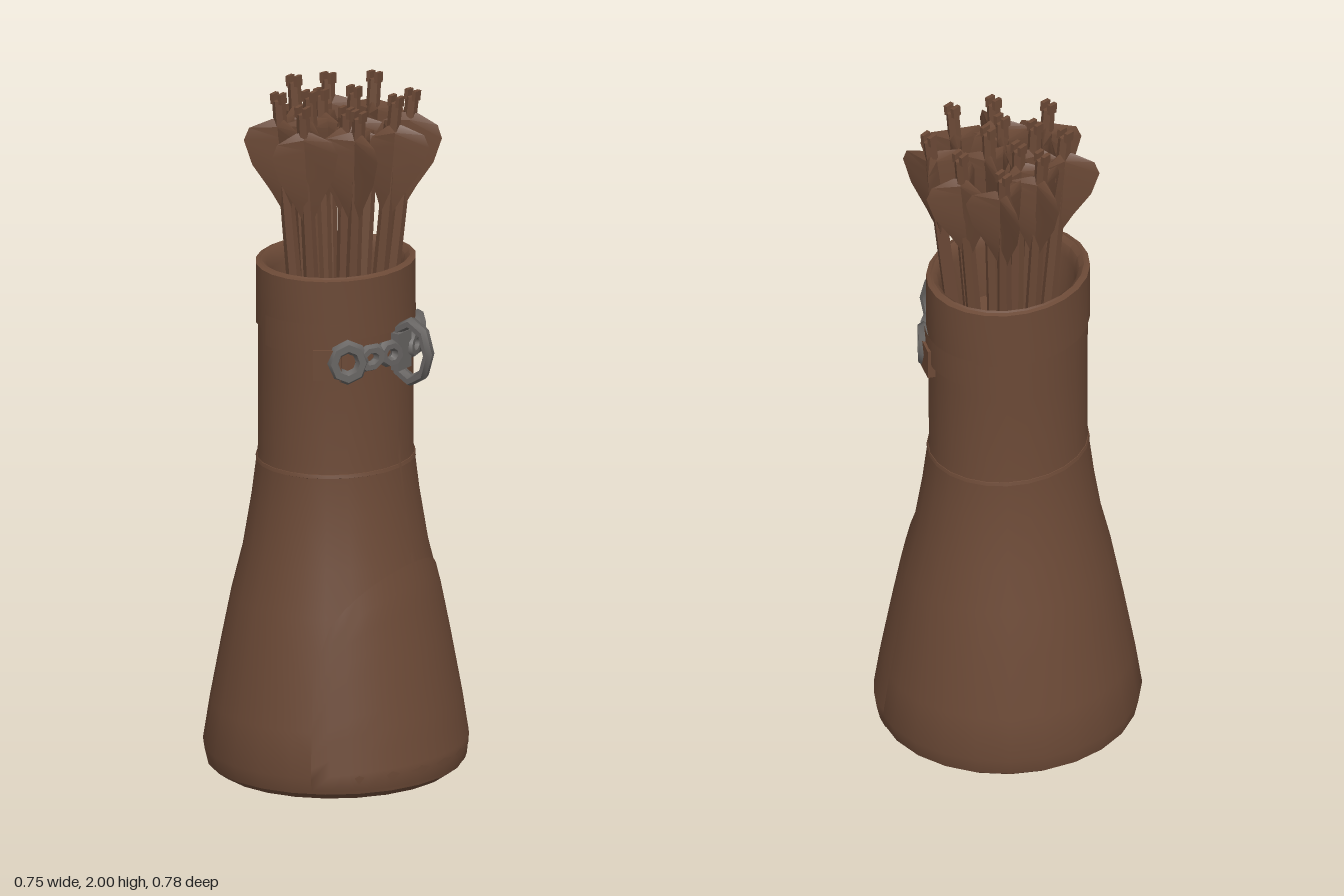
import * as THREE from 'three';
import { toCreasedNormals } from 'three/addons/utils/BufferGeometryUtils.js';
import { ParametricGeometry } from 'three/addons/geometries/ParametricGeometry.js';

// Outer wall: radius and height, bottom to top
const WALL = [
  [0.335, 0], [0.362, 0.02], [0.373, 0.07], [0.352, 0.2], [0.318, 0.38], [0.29, 0.52],
  [0.258, 0.65], [0.233, 0.8], [0.214, 0.95], [0.213, 1.2], [0.214, 1.5],
];

function wallRadius(y) {
  for (let i = 1; i < WALL.length; i++) {
    const [r0, y0] = WALL[i - 1], [r1, y1] = WALL[i];
    if (y <= y1) return r0 + (r1 - r0) * Math.max(0, (y - y0) / (y1 - y0));
  }
  return 0.214;
}

// The body is a little deeper than wide, more so toward the mouth
const depth = (y) => 1.035 + 0.095 * Math.min(1, Math.max(0, y / 1.3));

// Angle is measured from +x toward +z
function onWall(angle, y, offset = 0) {
  const r = wallRadius(y) + offset;
  return new THREE.Vector3(Math.cos(angle) * r, y, Math.sin(angle) * r * depth(y));
}

function lathe(points, sides = 24) {
  const g = new THREE.LatheGeometry(points.map(([r, y]) => new THREE.Vector2(r, y)), sides);
  const p = g.attributes.position;
  for (let i = 0; i < p.count; i++) p.setZ(i, p.getZ(i) * depth(p.getY(i)));
  return toCreasedNormals(g, 0.6);
}

// Feather vane: a wedge, thick at the shaft and sharp at the outer edge
function vaneGeometry() {
  const rows = [[-0.31, 0.012], [-0.24, 0.045], [-0.16, 0.09], [-0.085, 0.108], [-0.05, 0.09], [-0.03, 0.025]];
  const pos = [], idx = [];
  rows.forEach(([y, r], i) => {
    const t = i === 0 || i === rows.length - 1 ? 0.006 : 0.018;
    pos.push(0, y, t, r, y, 0, 0, y, -t);
    if (!i) return;
    const a = (i - 1) * 3, b = i * 3;
    for (const k of [0, 1]) idx.push(a + k, a + k + 1, b + k, a + k + 1, b + k + 1, b + k);
  });
  const g = new THREE.BufferGeometry();
  g.setAttribute('position', new THREE.Float32BufferAttribute(pos, 3));
  g.setIndex(idx);
  return toCreasedNormals(g, 0.5);
}

export function createModel() {
  const leather = new THREE.MeshStandardMaterial({ color: 0x6b4936, side: THREE.DoubleSide });
  leather.name = 'brown leather';
  const iron = new THREE.MeshStandardMaterial({ color: 0x676462, side: THREE.DoubleSide });
  iron.name = 'grey iron';

  const model = new THREE.Group();
  model.name = 'quiver';
  const add = (name, geometry, material, parent = model) => {
    const m = new THREE.Mesh(geometry, material);
    m.name = name;
    parent.add(m);
    return m;
  };

  // Body with a closed base, a thick rounded lip and an inner floor
  add('body', lathe([[0, 0], ...WALL, [0.203, 1.507], [0.19, 1.495], [0.18, 1.46], [0.172, 1.3], [0, 1.28]]), leather);

  // Raised bands: cuff around the mouth and waist seam
  const band = (name, y0, y1, t) => add(name, lathe([
    [wallRadius(y0) - 0.01, y0], [wallRadius(y0) + t, y0 + 0.005],
    [wallRadius(y1) + t, y1 - 0.005], [wallRadius(y1) - 0.01, y1],
  ]), leather);
  band('cuff', 1.32, 1.505, 0.005);
  band('waistSeam', 0.91, 0.93, 0.002);

  // Strap pieces on the front and back of the cuff
  for (const [name, mid, y0] of [['frontStrap', 1.4, 1.285], ['backStrap', -1.4, 1.25]]) {
    add(name, new ParametricGeometry((u, v, target) => {
      target.copy(onWall(mid + (u - 0.5) * 1.1, y0 + v * 0.09, 0.01));
    }, 8, 1), leather);
  }

  // Arched reinforcing patch on the left side
  add('leftPatch', new ParametricGeometry((u, v, target) => {
    const s = u * 2 - 1;
    const top = 0.36 + 0.28 * Math.sqrt(Math.max(0, 1 - s * s));
    target.copy(onWall(s * 1.15, 0.03 + (top - 0.03) * v, 0.003));
  }, 16, 10), leather);

  // Vertical side seam above the left patch
  add('sideSeam', new ParametricGeometry((u, v, target) => {
    target.copy(onWall((u - 0.5) * 0.04, 0.64 + v * 0.62, 0.003));
  }, 2, 10), leather);

  // Places a group on the wall with local +x pointing outward
  const mount = (name, angle, y, offset) => {
    const g = new THREE.Group();
    g.name = name;
    g.position.copy(onWall(angle, y, offset));
    g.rotation.y = -angle;
    model.add(g);
    return g;
  };

  // Leather loops that hold the chain
  for (const s of [-1, 1]) {
    const loop = mount(s > 0 ? 'frontLoop' : 'backLoop', s * 1.03, 1.255, 0.006);
    add('loop', new THREE.BoxGeometry(0.025, 0.09, 0.08), leather, loop);
  }

  // Chain along the left side
  for (const s of [-1, 1]) {
    const side = s > 0 ? 'front' : 'back';
    const link = mount(side + 'Link', s * 0.78, 1.262, 0.012);
    const ring = add('link', toCreasedNormals(new THREE.TorusGeometry(0.042, 0.019, 6, 8), 0.7), iron, link);
    ring.rotation.y = Math.PI / 2;
    ring.scale.y = 1.1;
    for (const [angle, tilt] of [[0.5, 0.35], [0.23, -0.3]]) {
      const bar = mount(side + 'Bar', s * angle, 1.268, 0.013);
      const m = add('barLink', toCreasedNormals(new THREE.TorusGeometry(0.032, 0.019, 6, 8), 0.7), iron, bar);
      m.rotation.set(tilt * s, Math.PI / 2, 0);
      m.scale.y = 0.8;
    }
  }
  const clasp = mount('clasp', 0, 1.265, 0.006);
  add('claspPlate', new THREE.BoxGeometry(0.034, 0.11, 0.065), iron, clasp);

  // Hanging ring standing out from the side
  const ring = add('hangingRing', toCreasedNormals(new THREE.TorusGeometry(0.083, 0.016, 6, 8), 0.7), iron);
  ring.position.set(0.257, 1.265, 0);
  ring.scale.set(0.72, 1.03, 1.5);

  // Arrows: x, z, height of the nock end, and turn of the vanes in degrees
  const arrows = [
    [-0.14, -0.17, 1.98, 158], [0, -0.2, 2, 56], [0.15, -0.17, 1.98, 6], [-0.17, -0.04, 2, 162],
    [-0.07, -0.03, 1.98, 100], [0.03, -0.05, 2, 30], [0.18, -0.04, 2, 22], [0.14, 0.09, 1.98, -25],
    [-0.13, 0.1, 1.99, 215], [0, 0.17, 1.99, -115], [-0.05, 0.06, 2, 80], [0.07, 0.05, 1.97, 140],
  ];
  const shaftG = toCreasedNormals(new THREE.CylinderGeometry(0.019, 0.022, 0.69, 6).translate(0, -0.365, 0), 0.8);
  const prongG = new THREE.BoxGeometry(0.012, 0.03, 0.028);
  const vaneG = vaneGeometry();
  arrows.forEach(([x, z, top, turn], i) => {
    const arrow = new THREE.Group();
    arrow.name = 'arrow' + (i + 1);
    arrow.position.set(x, top, z);
    // Lean outward from the mouth
    arrow.rotation.set(z * 0.5, 0, -x * 0.5);
    model.add(arrow);
    add('shaft', shaftG, leather, arrow);
    for (const s of [-1, 1]) add('nockProng', prongG, leather, arrow).position.set(s * 0.013, -0.015, 0);
    for (let k = 0; k < 3; k++) {
      const vane = add('vane', vaneG, leather, arrow);
      vane.rotation.y = THREE.MathUtils.degToRad(turn + k * 120);
      vane.position.y = 1.945 - top;
    }
  });

  return model;
}
